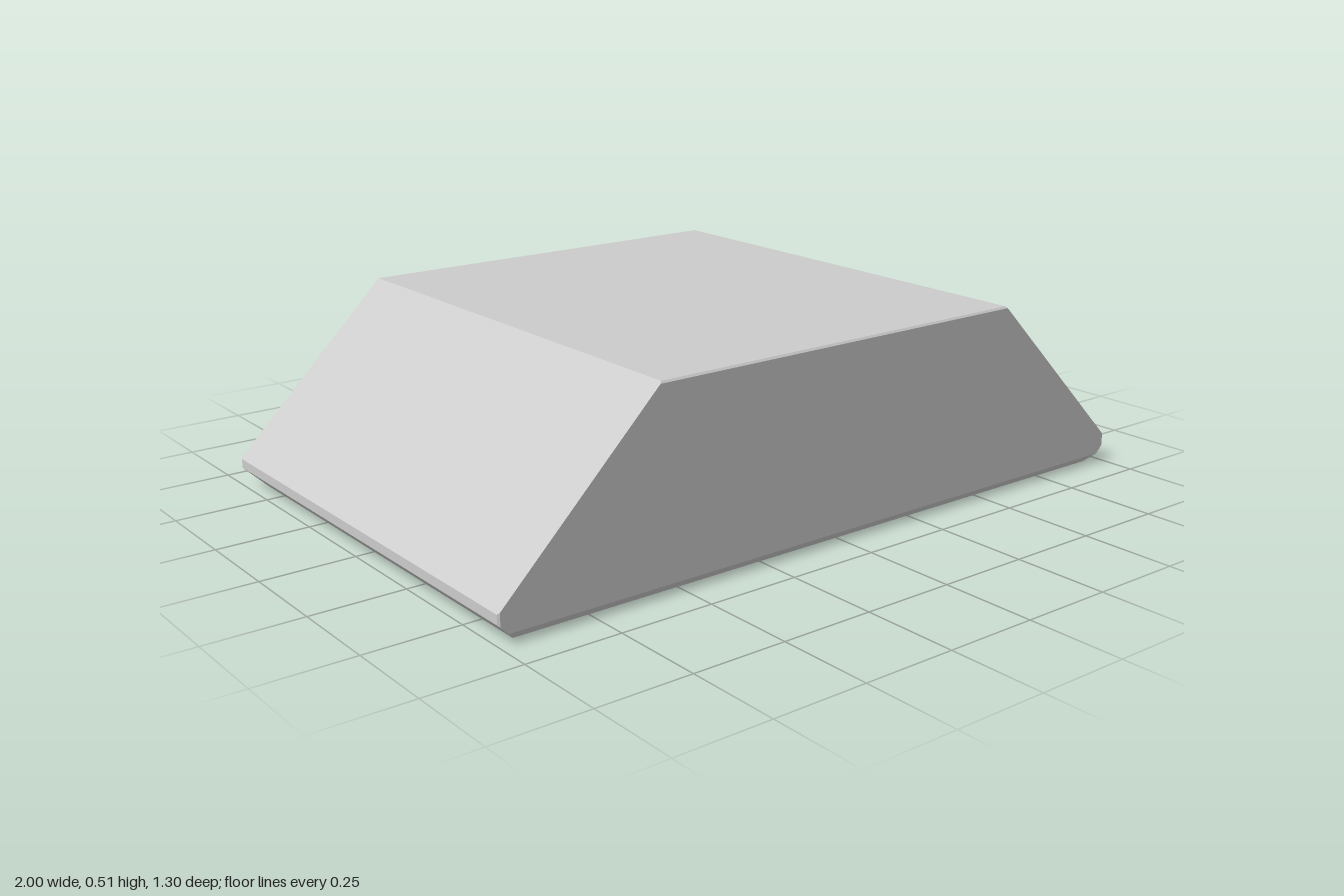
import * as THREE from 'three';

// Height levels: [y, half width, front z, back z]
const LEVELS = [
  [0, 0.95, 0.625, -0.597],
  [0.025, 0.975, 0.65, -0.622],
  [0.045, 0.995, 0.65, -0.642],
  [0.05, 1, 0.65, -0.647],
  [0.053, 1, 0.65, -0.65],
  [0.075, 1, 0.65, -0.65],
  [0.08, 0.995, 0.65, -0.65],
  [0.507, 0.566, 0.65, -0.65],
  [0.512, 0.561, 0.645, -0.65],
];

// Rectangle with its vertical corners cut where it is at its widest
function ring([y, x, front, back]) {
  const f = Math.max(0, x + front - 1.645);
  const b = Math.max(0, x - back - 1.645);
  return [
    [x - f, front], [x, front - f], [x, back + b], [x - b, back],
    [b - x, back], [-x, back + b], [-x, front - f], [f - x, front],
  ].map(([px, pz]) => new THREE.Vector3(px, y, pz));
}

function loft(rings) {
  const points = [];
  const triangle = (a, b, c) => {
    if (new THREE.Triangle(a, b, c).getArea() > 1e-9) points.push(a, b, c);
  };
  const n = rings[0].length;
  // Sides
  for (let k = 0; k < rings.length - 1; k++) {
    const low = rings[k], high = rings[k + 1];
    for (let i = 0; i < n; i++) {
      const j = (i + 1) % n;
      triangle(low[i], low[j], high[j]);
      triangle(low[i], high[j], high[i]);
    }
  }
  // Top and bottom caps
  const top = rings[rings.length - 1], bottom = rings[0];
  for (let i = 1; i < n - 1; i++) {
    triangle(top[0], top[i], top[i + 1]);
    triangle(bottom[0], bottom[i + 1], bottom[i]);
  }
  const geometry = new THREE.BufferGeometry().setFromPoints(points);
  geometry.computeVertexNormals();
  return geometry;
}

export function createModel() {
  const group = new THREE.Group();
  const material = new THREE.MeshStandardMaterial({ color: 0xcccccc, flatShading: true });
  // Sloped block with chamfered foot
  const block = new THREE.Mesh(loft(LEVELS.map(ring)), material);
  block.name = 'bevelledBlock';
  group.add(block);
  return group;
}
